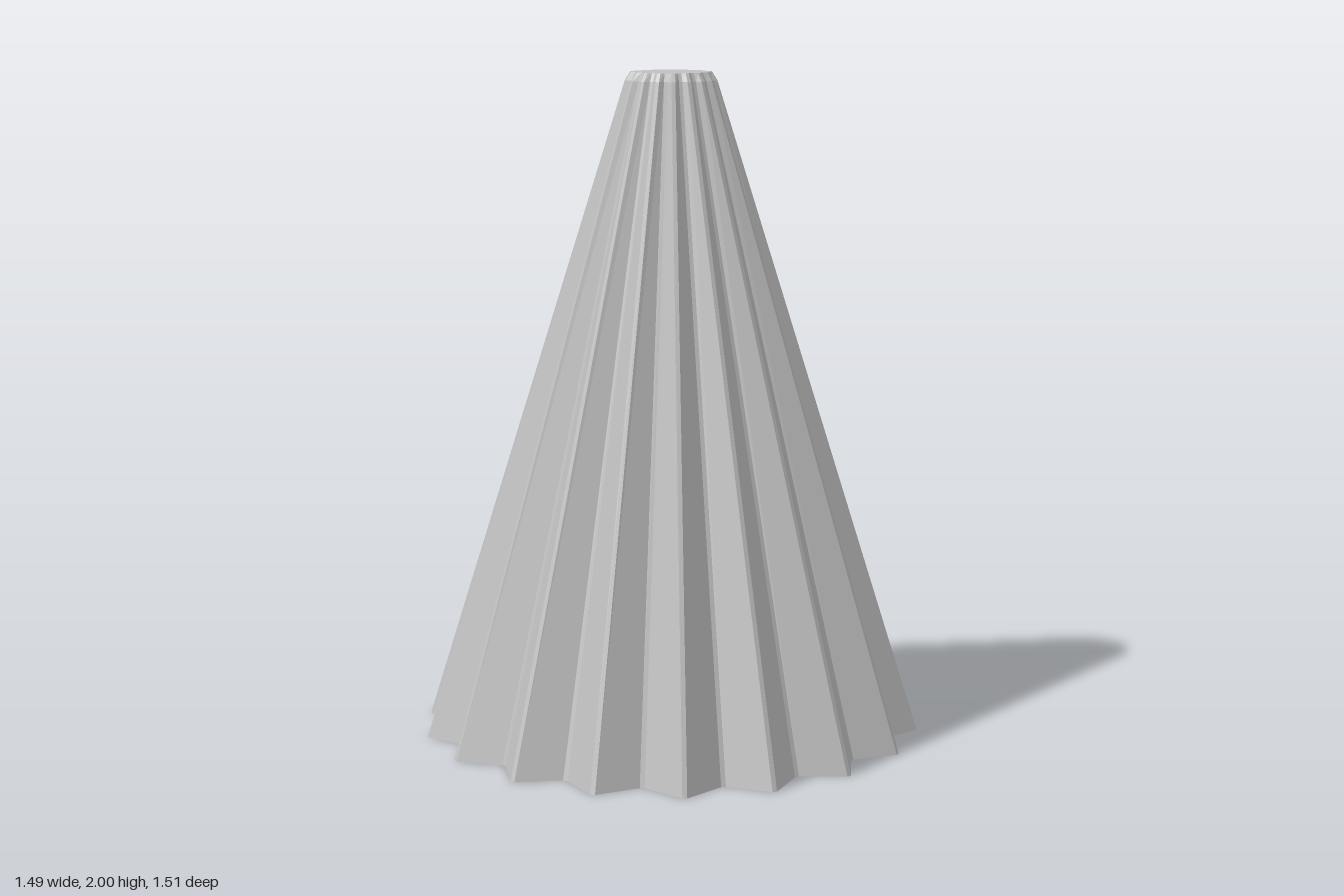
import * as THREE from 'three';

const FLUTES = 18;
const STEP = (Math.PI * 2) / FLUTES;

// One horizontal ring: ridges at radius tip, grooves at radius valley,
// with both creases narrowly flattened by a strip of constant width.
function ring(y, tip, valley, strip = 0.007) {
  const points = [];
  for (let i = 0; i < FLUTES; i++) {
    const a = i * STEP;
    const dt = tip > 0 ? Math.min(strip / tip, STEP * 0.12) : 0;
    const dv = valley > 0 ? Math.min(strip / valley, STEP * 0.12) : 0;
    const corners = [
      [a - dt, tip], [a + dt, tip],
      [a + STEP / 2 - dv, valley], [a + STEP / 2 + dv, valley],
    ];
    for (const [angle, r] of corners) {
      points.push([r * Math.sin(angle), y, r * Math.cos(angle)]);
    }
  }
  return points;
}

// Flat-faced skin through a list of rings; faces look outward when rising.
function loft(name, rings, material) {
  const pos = [];
  for (let k = 0; k < rings.length - 1; k++) {
    const lower = rings[k], upper = rings[k + 1], n = lower.length;
    for (let i = 0; i < n; i++) {
      const j = (i + 1) % n;
      pos.push(...lower[i], ...lower[j], ...upper[j]);
      pos.push(...lower[i], ...upper[j], ...upper[i]);
    }
  }
  const geometry = new THREE.BufferGeometry();
  geometry.setAttribute('position', new THREE.Float32BufferAttribute(pos, 3));
  geometry.computeVertexNormals();
  const mesh = new THREE.Mesh(geometry, material);
  mesh.name = name;
  return mesh;
}

export function createModel() {
  const grey = new THREE.MeshStandardMaterial({ color: 0xc0c0c0 });
  grey.name = 'plain grey';

  const foot = ring(0, 0.757, 0.67);
  const shoulder = ring(1.975, 0.138, 0.126);
  const crown = ring(2, 0.122, 0.114);
  const rim = ring(0, 0.545, 0.545);
  const throat = ring(0.28, 0.262, 0.232);
  const boreTop = ring(1.88, 0.1, 0.09);

  const model = new THREE.Group();
  model.name = 'flutedCone';
  model.add(
    // Outside
    loft('flutedBody', [foot, shoulder, crown], grey),
    loft('topCap', [crown, ring(2, 0, 0)], grey),
    // Underside and hollow
    loft('baseRing', [rim, foot], grey),
    loft('conicalRecess', [throat, rim], grey),
    loft('flutedBore', [boreTop, throat], grey),
    loft('boreCeiling', [ring(1.88, 0, 0), boreTop], grey),
  );
  return model;
}
